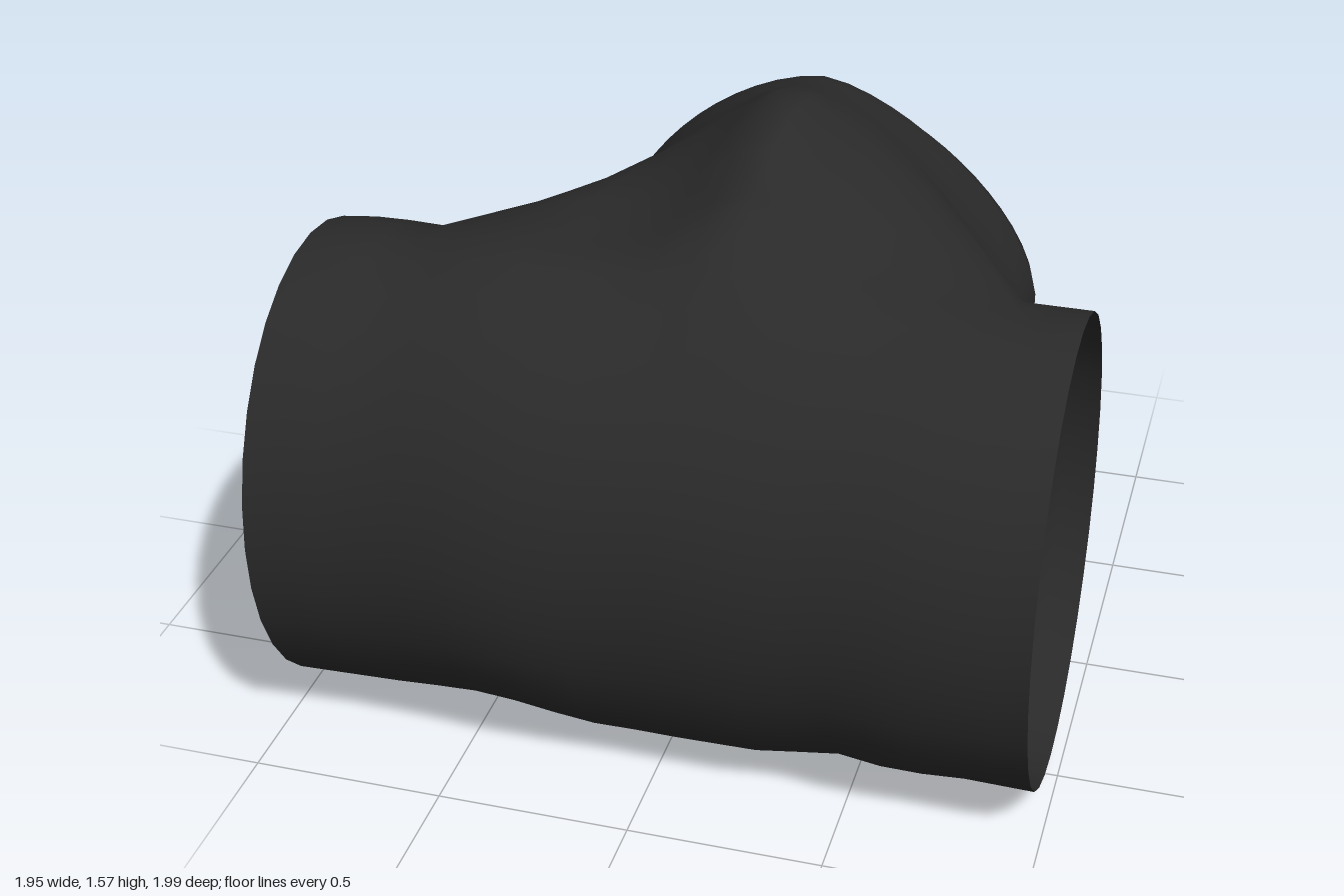
import * as THREE from 'three';

const SIDE = 14;          // cells along each side of the branch hole
const AROUND = 32;        // cells around the main pipe
const J0 = 9, J1 = J0 + SIDE, I0 = 3, I1 = I0 + SIDE;
const { lerp, smoothstep, degToRad } = THREE.MathUtils;

// Piecewise linear lookup in a short list of [position, value]
function sample(points, x) {
  if (x <= points[0][0]) return points[0][1];
  for (let i = 1; i < points.length; i++) {
    const [xa, a] = points[i - 1], [xb, b] = points[i];
    if (x <= xb) return lerp(a, b, (x - xa) / (xb - xa));
  }
  return points[points.length - 1][1];
}

// Uneven outline of the main pipe along x, and the crest over the junction
const CREST = [[-0.22, 0], [-0.05, 0.4], [0.1, 1], [0.16, 1], [0.36, 0.45], [0.58, 0.16], [0.8, 0]];
const TOP = [[-0.97, 0], [-0.85, 0.015], [-0.7, 0.01], [-0.5, 0.05], [-0.35, 0.06], [-0.2, 0.05], [0.1, 0]];
const BOTTOM = [[-0.7, 0], [-0.5, 0.02], [-0.35, 0.01], [-0.2, -0.03], [0, -0.037], [0.3, -0.03],
  [0.46, 0.01], [0.62, -0.01], [0.8, 0.005], [0.97, 0]];
const FRONT = [[-0.97, 0], [-0.7, -0.018], [-0.35, 0.005], [-0.05, -0.022], [0.25, -0.015], [0.45, -0.022], [0.65, 0]];

// Point on the main pipe: a = 0 faces the front, 90 degrees is the top
function pipePoint(x, a) {
  const c = Math.cos(a), s = Math.sin(a);
  let z = 0.465 + 0.522 * c, y = 0.66 + 0.62 * s;
  if (c > 0) z += sample(FRONT, x) * c;
  if (s > 0) {
    y += 0.25 * sample(CREST, x) * (1 - smoothstep(z, 0.2, 0.88)) * Math.min(1, s * 1.2);
    y += sample(TOP, x) * s;
  } else {
    y -= sample(BOTTOM, x) * s;
  }
  return [x, y, z];
}

// Branch sections: z, left x, right x, bottom, top, centre x, centre y,
// then squareness of the upper left, upper right and lower quarters
const SECTIONS = [
  [-0.19, -0.60, 0.77, 0.02, 1.54, 0.12, 0.75, 1.36, 1.5, 2.3],
  [-0.34, -0.53, 0.70, 0.045, 1.46, 0.12, 0.78, 1.5, 1.5, 2.5],
  [-0.48, -0.52, 0.70, 0.04, 1.43, 0.11, 0.8, 1.6, 1.5, 2.8],
  [-0.60, -0.52, 0.71, 0.065, 1.39, 0.09, 0.8, 1.7, 1.5, 3.0],
  [-0.67, -0.52, 0.69, 0.09, 1.34, 0.08, 0.8, 1.75, 1.55, 3.1],
  [-0.78, -0.53, 0.57, 0.13, 1.27, 0.04, 0.77, 1.85, 1.75, 3.2],
  [-0.88, -0.48, 0.47, 0.165, 1.21, 0.01, 0.7, 2.1, 2.1, 3.5],
  [-0.95, -0.39, 0.38, 0.18, 1.09, 0, 0.63, 3.2, 3.2, 5],
  [-1.00, -0.25, 0.25, 0.23, 0.96, 0, 0.595, 400, 400, 400],
];

function sectionPoint([z, x0, x1, y0, y1, cx, cy, upperLeft, upperRight, lower], b) {
  const c = Math.cos(b), s = Math.sin(b);
  const n = s < 0 ? lower : c < 0 ? upperLeft : upperRight;
  const r = (Math.abs(c) ** n + Math.abs(s) ** n) ** (-1 / n);
  return [cx + c * r * (c > 0 ? x1 - cx : cx - x0), cy + s * r * (s > 0 ? y1 - cy : cy - y0), z];
}

function junctionGeometry() {
  const pos = [], index = [];
  const add = (p) => pos.push(...p) / 3 - 1;
  const get = (i) => pos.slice(i * 3, i * 3 + 3);
  const quad = (a, b, c, d) => index.push(a, b, c, a, c, d);

  // Main pipe, left open where the branch leaves it
  const xs = [-0.975, -0.88, -0.79];
  for (let i = 0; i <= SIDE; i++) xs.push(lerp(-0.7, 0.8, i / SIDE));
  xs.push(0.89, 0.975);
  const grid = xs.map((x) => Array.from({ length: AROUND }, (_, j) =>
    add(pipePoint(x, (j / AROUND) * Math.PI * 2))));
  for (let i = 0; i < xs.length - 1; i++) {
    for (let j = 0; j < AROUND; j++) {
      if (i >= I0 && i < I1 && j >= J0 && j < J1) continue;
      const k = (j + 1) % AROUND;
      quad(grid[i][j], grid[i + 1][j], grid[i + 1][k], grid[i][k]);
    }
  }

  // Rim of the hole, starting at its lower right corner
  const rim = [];
  for (let k = 0; k < SIDE; k++) rim.push(grid[I1][J1 - k]);
  for (let k = 0; k < SIDE; k++) rim.push(grid[I1 - k][J0]);
  for (let k = 0; k < SIDE; k++) rim.push(grid[I0][J0 + k]);
  for (let k = 0; k < SIDE; k++) rim.push(grid[I0 + k][J1]);
  const count = rim.length;
  const angle = (k) => degToRad(-45 + (k / SIDE) * 90);

  // Branch: blend from the rim to the first section, then on to the square mouth
  const rings = [rim];
  for (const t of [0.25, 0.5, 0.75]) {
    rings.push(rim.map((id, k) => {
      const p = get(id), q = sectionPoint(SECTIONS[0], angle(k));
      const m = p.map((v, n) => lerp(v, q[n], t));
      if (Math.sin(angle(k)) > 0.6) m[1] += 0.32 * t * (1 - t) * sample(CREST, m[0]);
      return add(m);
    }));
  }
  for (const s of SECTIONS) rings.push(rim.map((_, k) => add(sectionPoint(s, angle(k)))));
  for (let r = 0; r < rings.length - 1; r++) {
    for (let k = 0; k < count; k++) {
      const n = (k + 1) % count;
      quad(rings[r][k], rings[r + 1][k], rings[r + 1][n], rings[r][n]);
    }
  }

  const geometry = new THREE.BufferGeometry();
  geometry.setAttribute('position', new THREE.Float32BufferAttribute(pos, 3));
  geometry.setIndex(index);
  geometry.computeVertexNormals();
  return geometry;
}

export function createModel() {
  const group = new THREE.Group();
  group.name = 'pipeJunction';
  const charcoal = new THREE.MeshStandardMaterial({ color: 0x2a2a2a, side: THREE.DoubleSide });
  charcoal.name = 'charcoal';
  const shell = new THREE.Mesh(junctionGeometry(), charcoal);
  shell.name = 'junctionShell';
  group.add(shell);
  return group;
}
